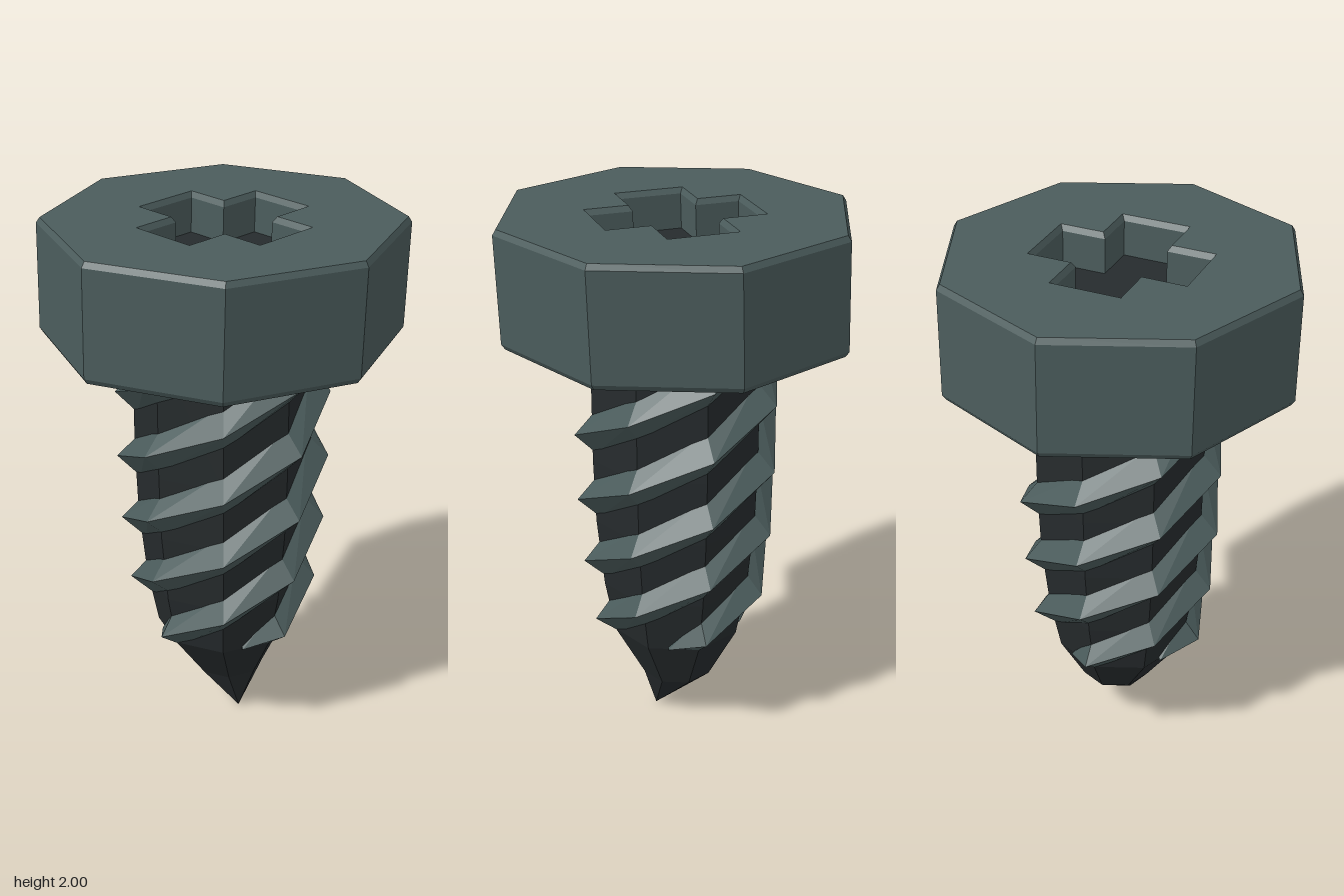
import * as THREE from 'three';

const headMat = new THREE.MeshStandardMaterial({ color: 0x4b5c5c, flatShading: true });
const shaftMat = new THREE.MeshStandardMaterial({ color: 0x262b2d, flatShading: true });

// Shaft outline as [radius, y], from the tip up into the head
const profile = [[0, 0], [0.135, 0.17], [0.25, 0.37], [0.29, 0.58], [0.317, 0.85], [0.325, 1.1], [0.325, 1.62]];

function shaftRadius(y) {
  for (let i = 1; i < profile.length; i++) {
    const [r0, y0] = profile[i - 1], [r1, y1] = profile[i];
    if (y <= y1) return r0 + (r1 - r0) * (y - y0) / (y1 - y0);
  }
  return 0.325;
}

// The head leans slightly towards the front
function shear(geometry) {
  const p = geometry.attributes.position;
  for (let i = 0; i < p.count; i++) p.setZ(i, p.getZ(i) + 0.03 * (p.getY(i) - 1.75));
  geometry.computeVertexNormals();
  return geometry;
}

function add(group, name, geometry, material) {
  const mesh = new THREE.Mesh(geometry, material);
  mesh.name = name;
  group.add(mesh);
}

// Octagonal head with bevelled rims and a cross-shaped opening
function headGeometry() {
  const corners = [];
  for (let i = 0; i < 8; i++) {
    const a = i * Math.PI / 4;
    corners.push(new THREE.Vector2(0.648 * Math.cos(a), 0.648 * Math.sin(a)));
  }
  const shape = new THREE.Shape(corners);
  const w = 0.117, l = 0.28;
  const cross = [[w, w], [l, w], [l, -w], [w, -w], [w, -l], [-w, -l], [-w, -w], [-l, -w], [-l, w], [-w, w], [-w, l], [w, l]];
  shape.holes.push(new THREE.Path(cross.map(([x, y]) => new THREE.Vector2(x, y))));
  const bevel = 0.012, thick = 0.02;
  const g = new THREE.ExtrudeGeometry(shape, {
    depth: 0.43 - 2 * thick, bevelEnabled: true, bevelSegments: 1,
    bevelSize: bevel, bevelOffset: -bevel, bevelThickness: thick,
  });
  g.rotateX(-Math.PI / 2).translate(0, 1.57 + thick, 0);
  return shear(g);
}

// Eight-sided shaft with a bent point
function shaftGeometry() {
  const g = new THREE.LatheGeometry(profile.map(([r, y]) => new THREE.Vector2(r, y)), 8);
  const p = g.attributes.position;
  for (let i = 0; i < p.count; i++) {
    const y = p.getY(i);
    if (y < 0.1) p.setZ(i, p.getZ(i) + 0.088);
    else if (y < 0.3) p.setXYZ(i, p.getX(i) + 0.025, y, p.getZ(i) + 0.008);
  }
  return g;
}

// One triangular ridge climbing the shaft, with a corner every 45 degrees
function threadGeometry() {
  const angles = [-27];
  for (let a = 0; a <= 405; a += 45) angles.push(a);
  const pos = [], index = [];
  angles.forEach((deg, i) => {
    const a = THREE.MathUtils.degToRad(deg);
    const y = 0.43 + 1.04 * deg / 360 - (i === 0 ? -0.02 : 0);
    const half = i === 0 ? 0.015 : 0.085;
    const chord = i === 0 ? 0.93 : 1;
    const put = (r, h) => pos.push(r * Math.sin(a), h, r * Math.cos(a));
    put((shaftRadius(y - half) - 0.015) * chord, y - half);
    put((shaftRadius(y) + (i === 0 ? 0.012 : 0.067)) * chord, y);
    put((shaftRadius(y + half) - 0.015) * chord, y + half);
    if (i === 0) return;
    const n = i * 3, o = n - 3;
    for (const k of [0, 1]) index.push(o + k, n + k, n + k + 1, o + k, n + k + 1, o + k + 1);
  });
  index.push(0, 1, 2);
  const g = new THREE.BufferGeometry();
  g.setAttribute('position', new THREE.Float32BufferAttribute(pos, 3));
  g.setIndex(index);
  g.computeVertexNormals();
  return g;
}

export function createModel() {
  const model = new THREE.Group();
  model.name = 'screw';
  add(model, 'head', headGeometry(), headMat);

  // Floor of the cross recess, buried inside the head
  const floor = new THREE.CylinderGeometry(0.4, 0.4, 0.26, 8);
  floor.translate(0, 1.72, 0);
  add(model, 'recessFloor', floor, shaftMat);

  add(model, 'shaft', shaftGeometry(), shaftMat);

  // Four interleaved threads
  const threads = new THREE.Group();
  threads.name = 'threads';
  const ridge = threadGeometry();
  for (let i = 0; i < 4; i++) {
    add(threads, 'thread' + (i + 1), ridge, headMat);
    threads.children[i].rotation.y = i * Math.PI / 2;
  }
  model.add(threads);
  return model;
}
